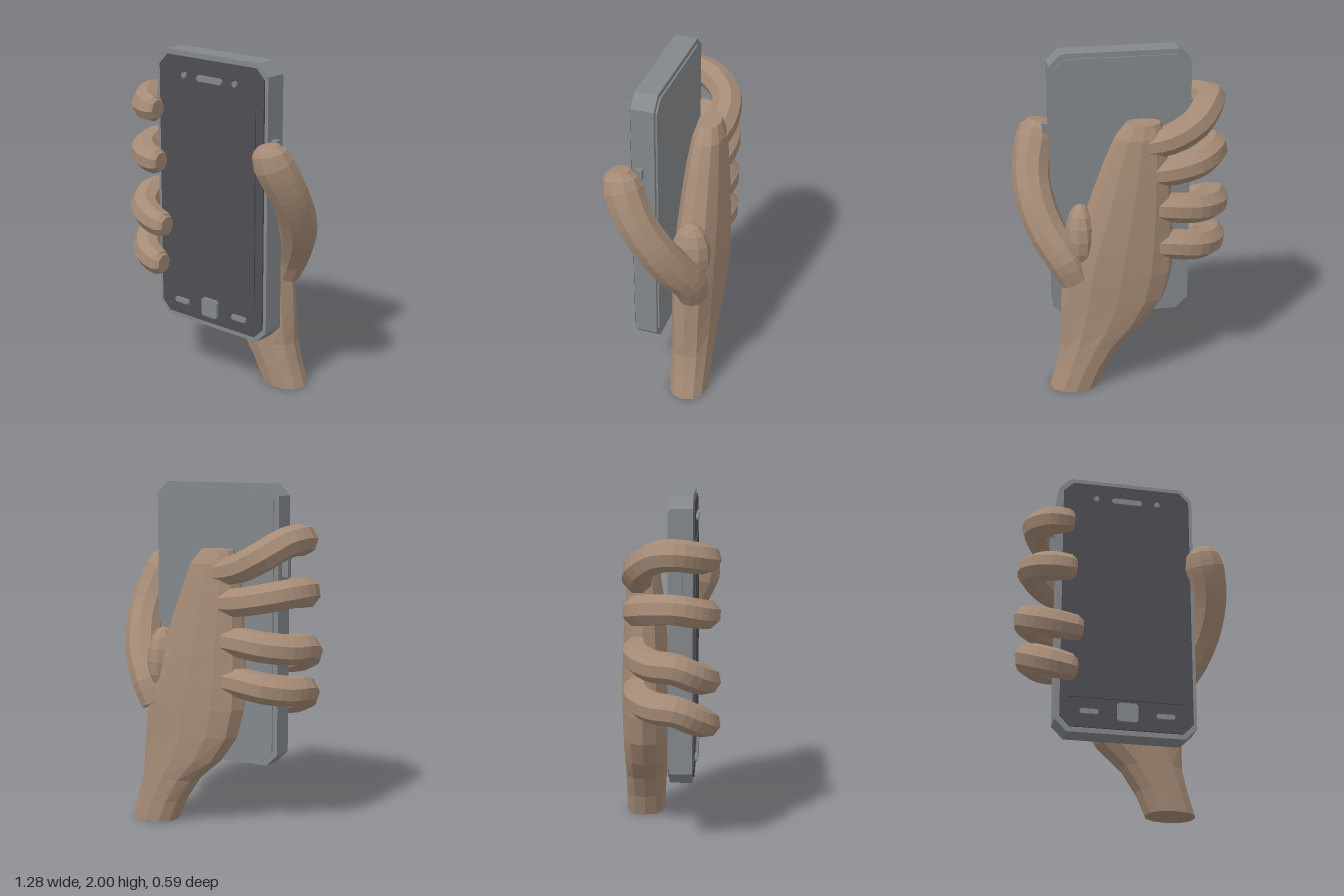
import * as THREE from 'three';

const skin = new THREE.MeshStandardMaterial({ color: 0xa58b76, flatShading: true });
skin.name = 'skin';
const casing = new THREE.MeshStandardMaterial({ color: 0x84888b, flatShading: true });
casing.name = 'grey casing';
const glass = new THREE.MeshStandardMaterial({ color: 0x4e4d52, flatShading: true });
glass.name = 'dark glass';

// Skin a list of rings (each a loop of Vector3) and close both ends
function loft(rings) {
  const n = rings[0].length, pos = [], idx = [];
  rings.forEach(r => r.forEach(p => pos.push(p.x, p.y, p.z)));
  for (let i = 0; i < rings.length - 1; i++) {
    for (let j = 0; j < n; j++) {
      const k = (j + 1) % n, a = i * n + j, b = i * n + k;
      idx.push(a, b, b + n, a, b + n, a + n);
    }
  }
  const last = (rings.length - 1) * n;
  for (let j = 1; j < n - 1; j++) {
    idx.push(0, j + 1, j, last, last + j, last + j + 1);
  }
  const g = new THREE.BufferGeometry();
  g.setAttribute('position', new THREE.Float32BufferAttribute(pos, 3));
  g.setIndex(idx);
  g.computeVertexNormals();
  return g;
}

// Tapered tube through points, with one radius per point
function limb(points, radii, sides = 8, steps = 16) {
  const curve = new THREE.CatmullRomCurve3(points.map(p => new THREE.Vector3(...p)));
  const rings = [];
  let normal = new THREE.Vector3(0, 1, 0.02);
  for (let i = 0; i <= steps; i++) {
    const t = i / steps, f = t * (radii.length - 1), k = Math.min(Math.floor(f), radii.length - 2);
    const r = THREE.MathUtils.lerp(radii[k], radii[k + 1], f - k);
    const c = curve.getPoint(t), tan = curve.getTangent(t);
    normal = normal.clone().addScaledVector(tan, -normal.dot(tan)).normalize();
    const bin = new THREE.Vector3().crossVectors(tan, normal);
    rings.push(Array.from({ length: sides }, (_, j) => {
      const a = (j + 0.5) / sides * Math.PI * 2;
      return c.clone().addScaledVector(normal, r * Math.cos(a)).addScaledVector(bin, r * Math.sin(a));
    }));
  }
  return loft(rings);
}

// Plate with clipped corners, from z0 to z1
function plate(x0, x1, y0, y1, z0, z1, cut) {
  const s = new THREE.Shape([
    [x0 + cut, y0], [x1 - cut, y0], [x1, y0 + cut], [x1, y1 - cut],
    [x1 - cut, y1], [x0 + cut, y1], [x0, y1 - cut], [x0, y0 + cut],
  ].map(p => new THREE.Vector2(...p)));
  return new THREE.ExtrudeGeometry(s, { depth: z1 - z0, bevelEnabled: false }).translate(0, 0, z0);
}

export function createModel() {
  const model = new THREE.Group();
  model.name = 'handHoldingPhone';
  const phone = new THREE.Group();
  phone.name = 'phone';
  const hand = new THREE.Group();
  hand.name = 'hand';
  model.add(phone, hand);
  const add = (group, name, geometry, material) => {
    const m = new THREE.Mesh(geometry, material);
    m.name = name;
    group.add(m);
    return m;
  };

  // Phone body, back cover, front panel and display
  add(phone, 'phoneBody', plate(-0.4, 0.42, 0.36, 2, 0, 0.132, 0.07), casing);
  add(phone, 'backCover', plate(-0.37, 0.395, 0.39, 1.97, -0.009, 0, 0.06), casing);
  add(phone, 'frontPanel', plate(-0.373, 0.398, 0.39, 1.97, 0.132, 0.142, 0.06), glass);
  add(phone, 'display', plate(-0.33, 0.345, 0.565, 1.75, 0.142, 0.149, 0.004), glass);

  // Speaker, sensors and front keys
  add(phone, 'speaker', plate(-0.08, 0.105, 1.845, 1.88, 0.142, 0.157, 0.012), casing);
  add(phone, 'homeKey', plate(-0.048, 0.072, 0.433, 0.545, 0.142, 0.16, 0.012), casing);
  for (const [side, x] of [['right', -0.208], ['left', 0.234]]) {
    add(phone, side + 'TouchKey', plate(x - 0.053, x + 0.053, 0.466, 0.496, 0.142, 0.157, 0.008), casing);
  }
  for (const [side, x] of [['right', -0.176], ['left', 0.198]]) {
    const dot = new THREE.CylinderGeometry(0.017, 0.017, 0.015, 10).rotateX(Math.PI / 2);
    add(phone, side + 'Sensor', dot, casing).position.set(x, 1.865, 0.15);
  }

  // Edge buttons
  add(phone, 'powerButton', new THREE.BoxGeometry(0.05, 0.06, 0.036), casing).position.set(0.43, 1.545, 0.08);
  add(phone, 'volumeButton', new THREE.BoxGeometry(0.06, 0.14, 0.036), casing).position.set(-0.41, 1.54, 0.06);

  // Wrist and palm: height, x range, z range of each section
  const sections = [
    [0, 0.18, 0.475, -0.292, -0.06], [0.13, 0.125, 0.435, -0.292, -0.05],
    [0.27, 0.03, 0.402, -0.293, -0.04], [0.4, -0.12, 0.4, -0.295, -0.03],
    [0.55, -0.225, 0.395, -0.298, -0.022], [0.72, -0.27, 0.38, -0.3, -0.016],
    [0.88, -0.275, 0.335, -0.297, -0.016], [1.05, -0.265, 0.265, -0.29, -0.02],
    [1.22, -0.255, 0.205, -0.28, -0.03], [1.4, -0.24, 0.14, -0.265, -0.045],
    [1.55, -0.22, 0.075, -0.25, -0.065], [1.63, -0.19, 0.01, -0.22, -0.09],
  ];
  const soft = v => Math.sign(v) * Math.abs(v) ** 0.9;
  const palmRings = sections.map(([y, x0, x1, z0, z1]) => Array.from({ length: 12 }, (_, j) => {
    const a = j / 12 * Math.PI * 2;
    return new THREE.Vector3(
      (x0 + x1) / 2 + (x1 - x0) / 2 * soft(Math.cos(a)), y,
      (z0 + z1) / 2 - (z1 - z0) / 2 * soft(Math.sin(a)));
  }));
  add(hand, 'palmAndWrist', loft(palmRings), skin);

  // Fingers: heights at knuckle, bend and tip, outermost x, tip x
  const fingers = [
    ['indexFinger', 1.5, 1.69, 1.655, -0.605, -0.325],
    ['middleFinger', 1.33, 1.395, 1.345, -0.625, -0.305],
    ['ringFinger', 1.12, 1.07, 0.96, -0.64, -0.265],
    ['littleFinger', 0.89, 0.83, 0.715, -0.625, -0.295],
  ];
  for (const [name, yBack, yBend, yTip, xOut, xTip] of fingers) {
    const bx = xOut + 0.085, mix = THREE.MathUtils.lerp;
    const path = [
      [-0.1, yBack, -0.175], [-0.24, mix(yBack, yBend, 0.15), -0.185],
      [-0.39, mix(yBack, yBend, 0.55), -0.165], [bx + 0.045, mix(yBack, yBend, 0.9), -0.075],
      [bx, yBend, 0.035], [bx + 0.04, mix(yBend, yTip, 0.45), 0.14],
      [mix(bx, xTip, 0.5), mix(yBend, yTip, 0.8), 0.2],
      [xTip - 0.03, yTip, 0.215], [xTip, yTip, 0.213],
    ];
    add(hand, name, limb(path, [0.08, 0.087, 0.09, 0.09, 0.088, 0.088, 0.085, 0.077, 0.055], 8, 24), skin);
  }

  // Thumb wrapping round the left edge, with the web that joins it to the palm
  const thumbPath = [
    [0.31, 0.7, -0.185], [0.365, 0.82, -0.175], [0.45, 0.96, -0.11], [0.505, 1.1, -0.035],
    [0.525, 1.25, 0.055], [0.51, 1.37, 0.12], [0.485, 1.46, 0.16], [0.47, 1.53, 0.178], [0.465, 1.57, 0.182],
  ];
  add(hand, 'thumb', limb(thumbPath, [0.095, 0.108, 0.112, 0.112, 0.112, 0.116, 0.118, 0.1, 0.058], 10, 24), skin);
  const web = add(hand, 'thumbWeb', new THREE.SphereGeometry(1, 10, 8), skin);
  web.scale.set(0.09, 0.2, 0.115);
  web.position.set(0.275, 0.96, -0.165);
  return model;
}
